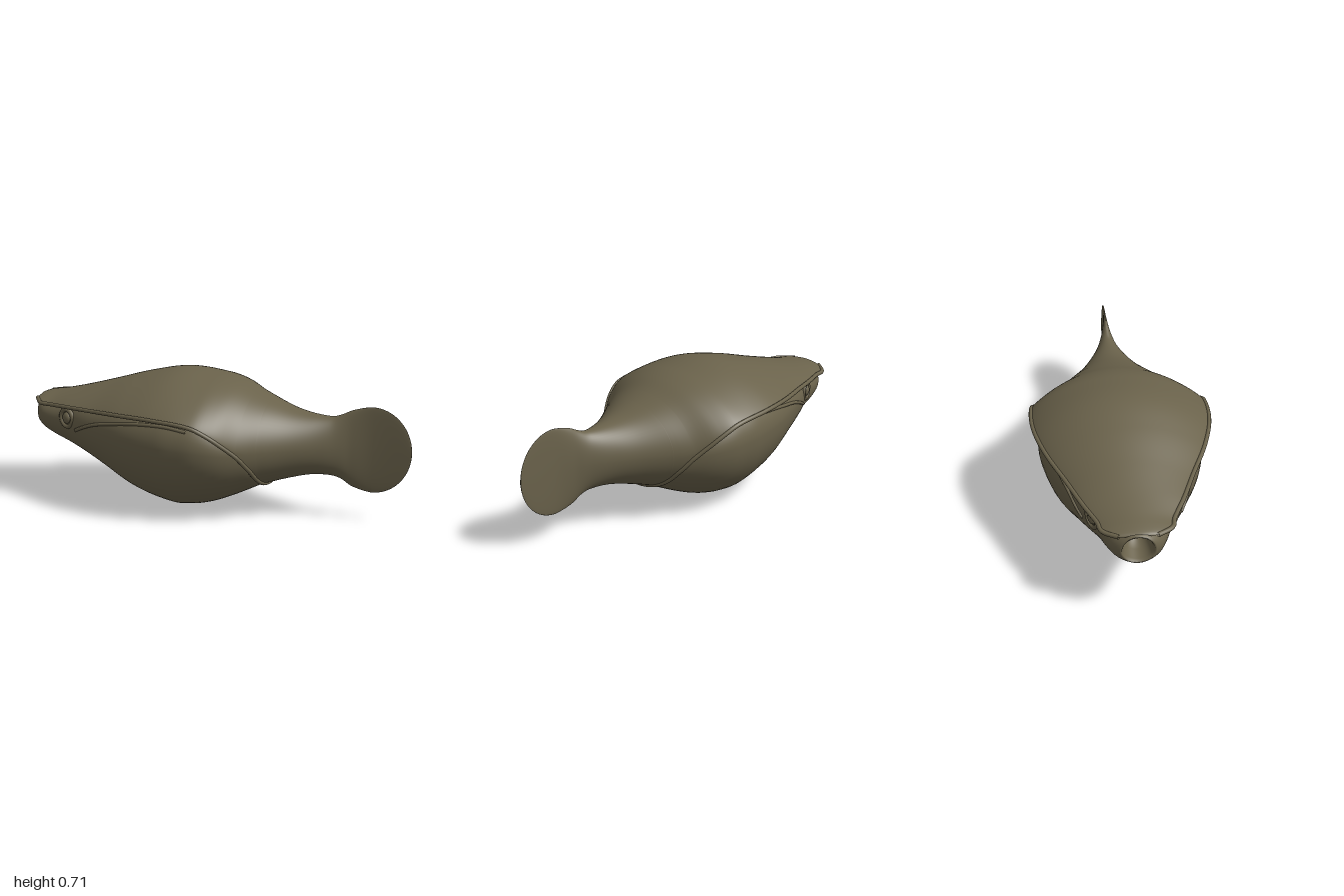
import * as THREE from 'three';
import { mergeVertices } from 'three/addons/utils/BufferGeometryUtils.js';

// Smooth interpolation through rows of [x, a, b, ...]
function sample(table, x) {
  const n = table.length;
  let i = 0;
  while (i < n - 2 && x > table[i + 1][0]) i++;
  const p = table[i], q = table[i + 1];
  const o = table[Math.max(i - 1, 0)], r = table[Math.min(i + 2, n - 1)];
  const h = q[0] - p[0];
  const t = Math.min(Math.max((x - p[0]) / h, 0), 1), t2 = t * t, t3 = t2 * t;
  return p.slice(1).map((v, k) => {
    const c = k + 1;
    const m0 = (q[c] - o[c]) / (q[0] - o[0]) * h, m1 = (r[c] - p[c]) / (r[0] - p[0]) * h;
    return (2 * t3 - 3 * t2 + 1) * v + (t3 - 2 * t2 + t) * m0 + (3 * t2 - 2 * t3) * q[c] + (t3 - t2) * m1;
  });
}

// Skin over a list of equally long cross-sections
function loft(rows) {
  const pos = [], index = [], m = rows[0].length;
  rows.forEach(row => row.forEach(p => pos.push(p.x, p.y, p.z)));
  for (let i = 0; i < rows.length - 1; i++) {
    for (let j = 0; j < m - 1; j++) {
      const a = i * m + j, b = a + m;
      index.push(a, a + 1, b, b, a + 1, b + 1);
    }
  }
  let g = new THREE.BufferGeometry();
  g.setAttribute('position', new THREE.Float32BufferAttribute(pos, 3));
  g.setIndex(index);
  g = mergeVertices(g, 1e-5);
  g.computeVertexNormals();
  return g;
}

// Shield and tail: x, top, widest height, bottom, half width
const SHIELD = [
  [-1, 0.512, 0.5, 0.3, 0.06], [-0.99, 0.516, 0.5, 0.3, 0.11], [-0.96, 0.523, 0.495, 0.3, 0.153],
  [-0.88, 0.537, 0.495, 0.25, 0.178], [-0.76, 0.565, 0.505, 0.2, 0.235], [-0.6, 0.61, 0.515, 0.15, 0.3],
  [-0.4, 0.668, 0.53, 0.1, 0.385], [-0.2, 0.705, 0.535, 0.1, 0.437], [0, 0.685, 0.515, 0.1, 0.44],
  [0.1, 0.66, 0.46, 0.1, 0.41], [0.2, 0.617, 0.385, 0.125, 0.34], [0.3, 0.578, 0.37, 0.16, 0.262],
  [0.4, 0.545, 0.368, 0.19, 0.19], [0.5, 0.526, 0.367, 0.213, 0.13], [0.6, 0.521, 0.366, 0.215, 0.077],
  [0.65, 0.538, 0.365, 0.2, 0.053], [0.7, 0.562, 0.365, 0.168, 0.033], [0.8, 0.585, 0.365, 0.145, 0.012],
  [1, 0.585, 0.365, 0.145, 0.003],
];
// How far the shield wraps round the body, in degrees from the top
const WRAP = [[0.1, 90], [0.2, 95], [0.25, 114], [0.265, 132], [0.275, 155], [0.28, 180]];

function shieldPoint(x, s) {
  let [top, mid, bottom, width] = sample(SHIELD, x);
  if (x > 0.8) {
    // rounded fin edge
    const k = Math.sqrt(Math.max(0, 1 - ((x - 0.8) / 0.2) ** 2));
    top = mid + 0.22 * k;
    bottom = mid - 0.22 * k;
  }
  const angle = THREE.MathUtils.degToRad(x >= 0.28 ? 180 : x < 0.1 ? 90 : sample(WRAP, x)[0]) * s;
  const c = Math.cos(angle);
  const power = THREE.MathUtils.lerp(1.8, 1.1, THREE.MathUtils.smoothstep(x, -0.1, 0.3));
  const y = c >= 0 ? mid + (top - mid) * c ** power : mid + (mid - bottom) * c;
  return new THREE.Vector3(x, y, width * Math.sin(angle));
}

// Belly and head: x, top, widest height, bottom, half width
const BELLY = [
  [-1, 0.5, 0.42, 0.342, 0.085], [-0.97, 0.502, 0.415, 0.322, 0.115], [-0.9, 0.505, 0.41, 0.29, 0.148],
  [-0.8, 0.52, 0.41, 0.252, 0.185], [-0.7, 0.54, 0.41, 0.212, 0.24], [-0.6, 0.55, 0.405, 0.162, 0.285],
  [-0.4, 0.58, 0.395, 0.056, 0.365], [-0.2, 0.595, 0.385, 0.002, 0.41], [-0.1, 0.59, 0.38, 0.006, 0.416],
  [0, 0.575, 0.375, 0.03, 0.41], [0.1, 0.53, 0.365, 0.07, 0.375], [0.2, 0.47, 0.35, 0.118, 0.305],
  [0.26, 0.43, 0.33, 0.15, 0.245], [0.32, 0.38, 0.3, 0.2, 0.14],
];

function bellyPoint(x, angle) {
  const [top, mid, bottom, width] = sample(BELLY, x);
  const c = Math.cos(angle), s = Math.sin(angle);
  const power = c > 0 ? THREE.MathUtils.lerp(1, 0.55, THREE.MathUtils.smoothstep(x, -1, -0.6)) : 1;
  return new THREE.Vector3(x, mid + c * (c > 0 ? top - mid : mid - bottom),
    width * Math.sign(s) * Math.abs(s) ** power);
}

// Point on the flank at a given x and height
function flankPoint(x, y) {
  const [top, mid, bottom] = sample(BELLY, x);
  const c = (y - mid) / (y > mid ? top - mid : mid - bottom);
  return bellyPoint(x, Math.acos(THREE.MathUtils.clamp(c, -1, 1)));
}

export function createModel() {
  const group = new THREE.Group();
  const skin = new THREE.MeshStandardMaterial({ color: 0x6a624b, side: THREE.DoubleSide });
  skin.name = 'olive brown skin';
  const add = (name, geometry, parent = group) => {
    const mesh = new THREE.Mesh(geometry, skin);
    mesh.name = name;
    parent.add(mesh);
    return mesh;
  };
  const range = (n, f) => Array.from({ length: n + 1 }, (_, i) => f(i / n));

  // Head shield flowing into the tail and its fin
  const xs = [
    ...range(6, t => -1 + 0.06 * t * t),
    ...range(60, t => -0.93 + 1.13 * t),
    ...range(24, t => 0.203 + 0.077 * Math.sin(t * Math.PI / 2)),
    ...range(40, t => 0.29 + 0.51 * t),
    ...range(18, t => 0.8 + 0.2 * Math.sin((t * 0.98 + 0.02) * Math.PI / 2)),
  ];
  add('shieldAndTail', loft(xs.map(x => range(64, t => shieldPoint(x, t * 2 - 1)))));

  // Belly, with the mouth cavity folded inward at the front
  const rows = range(80, t => range(64, u => bellyPoint(-1 + 1.32 * t, (u * 2 - 1) * Math.PI)));
  const cavity = [[-0.86, 0.01], [-0.87, 0.5], [-0.93, 0.72], [-0.985, 0.82], [-1, 0.9]].map(([x, k]) =>
    rows[0].map(p => new THREE.Vector3(x, 0.42 + (p.y - 0.42) * k, p.z * k)));
  add('bellyAndMouth', loft([...cavity, ...rows]));

  // Rolled rim round the open edge of the shield
  const edge = range(36, t => -0.995 + 1.275 * Math.sin(t * Math.PI / 2));
  const rim = [...edge.map(x => shieldPoint(x, 1)),
    ...edge.slice(0, -1).reverse().map(x => shieldPoint(x, -1))];
  add('shieldRim', new THREE.TubeGeometry(new THREE.CatmullRomCurve3(rim), 240, 0.011, 8, false));

  // Eye and gill fold on both flanks
  for (const side of [1, -1]) {
    const flank = new THREE.Group();
    flank.name = side > 0 ? 'frontFlank' : 'backFlank';
    flank.scale.z = side;
    group.add(flank);

    const fold = [[-0.71, 0.385], [-0.66, 0.41], [-0.58, 0.44], [-0.45, 0.468], [-0.3, 0.488],
      [-0.15, 0.492], [-0.04, 0.478]].map(([x, y]) => flankPoint(x, y));
    add('gillFold', new THREE.TubeGeometry(new THREE.CatmullRomCurve3(fold), 60, 0.009, 8), flank);

    const eye = new THREE.Group();
    eye.name = 'eye';
    eye.position.copy(flankPoint(-0.775, 0.435));
    eye.rotation.y = -0.45;
    flank.add(eye);
    add('eyeball', new THREE.SphereGeometry(0.03, 20, 14), eye).scale.z = 0.6;
    add('eyeRing', new THREE.TorusGeometry(0.046, 0.012, 8, 28), eye);
  }
  return group;
}
